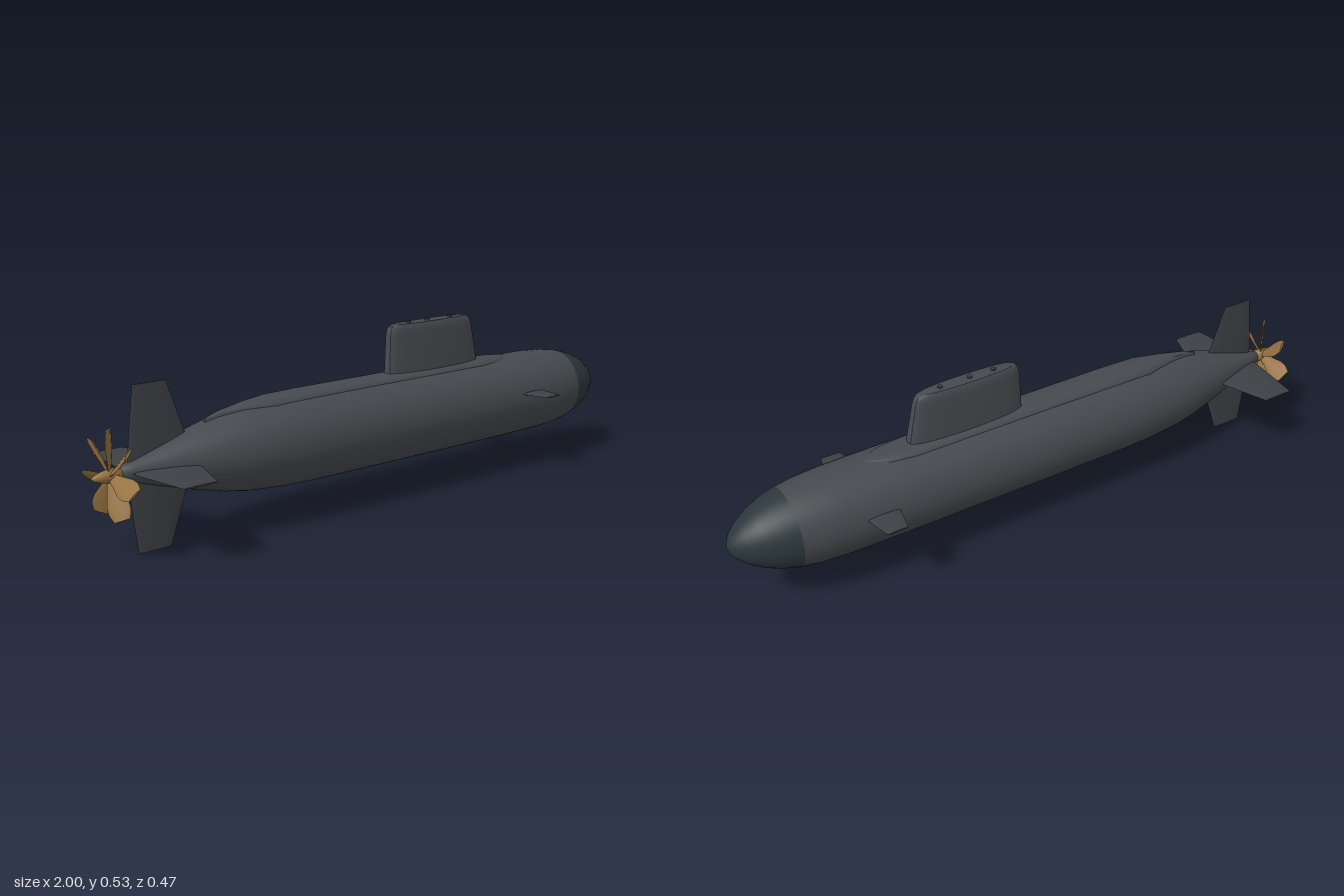
import * as THREE from 'three';
import { toCreasedNormals } from 'three/addons/utils/BufferGeometryUtils.js';

const AXIS = 0.235; // height of the hull centreline

const mat = (color) => new THREE.MeshStandardMaterial({ color });
const hullMat = mat(0x46494e);
const noseMat = mat(0x2c373b);
const finMat = mat(0x3d4044);
const bronze = mat(0x94703f);

// Skin over rings of points, capped at both ends; rings run counter-clockwise about the travel direction
function loft(rings, crease = 0.6) {
  const n = rings[0].length;
  const index = [];
  for (let i = 0; i < rings.length - 1; i++) {
    for (let j = 0; j < n; j++) {
      const a = i * n + j, b = i * n + (j + 1) % n;
      index.push(a, b, b + n, a, b + n, a + n);
    }
  }
  const last = (rings.length - 1) * n;
  for (let j = 1; j < n - 1; j++) {
    index.push(0, j + 1, j, last, last + j, last + j + 1);
  }
  const geo = new THREE.BufferGeometry();
  geo.setAttribute('position', new THREE.Float32BufferAttribute(rings.flat(2), 3));
  geo.setIndex(index);
  return toCreasedNormals(geo.toNonIndexed(), crease);
}

const power = (v, e) => Math.sign(v) * Math.abs(v) ** e;

// Horizontal section at height y, from x0 to x1, half thickness w; e < 1 squares it off
function plan(y, x0, x1, w, sides, e = 1) {
  return Array.from({ length: sides }, (_, k) => {
    const t = (k / sides) * Math.PI * 2;
    return [(x0 + x1) / 2 + (x1 - x0) / 2 * Math.sin(t), y, w * power(Math.cos(t), e)];
  });
}

function add(parent, name, geo, material) {
  const mesh = new THREE.Mesh(geo, material);
  mesh.name = name;
  parent.add(mesh);
  return mesh;
}

// Body of revolution along x from [x, radius] pairs, listed stern to bow
function turned(profile, segments = 48) {
  const geo = new THREE.LatheGeometry(profile.map(([x, r]) => new THREE.Vector2(r, x)), segments);
  return geo.rotateZ(-Math.PI / 2).translate(0, AXIS, 0);
}

export function createModel() {
  const sub = new THREE.Group();
  sub.name = 'submarine';

  // Pressure hull and darker bow dome
  add(sub, 'hull', turned([
    [-0.93, 0], [-0.93, 0.016], [-0.88, 0.028], [-0.8, 0.053], [-0.71, 0.08], [-0.6, 0.108],
    [-0.52, 0.122], [-0.4, 0.132], [-0.3, 0.135], [0, 0.136], [0.5, 0.136], [0.68, 0.134],
    [0.76, 0.129], [0.82, 0.12],
  ]), hullMat);
  add(sub, 'bowDome', turned([
    [0.82, 0.12], [0.87, 0.107], [0.915, 0.088], [0.955, 0.063], [0.982, 0.038], [0.995, 0.018], [1, 0],
  ]), noseMat);

  // Deck casing: [x, half width, top height], tapering to both ends
  const casing = [
    [-0.64, 0.006, 0.343], [-0.59, 0.014, 0.357], [-0.5, 0.036, 0.37], [-0.42, 0.054, 0.376],
    [-0.3, 0.057, 0.378], [0.42, 0.057, 0.378], [0.5, 0.05, 0.376], [0.56, 0.03, 0.372], [0.6, 0.01, 0.366],
  ].map(([x, w, top]) => Array.from({ length: 24 }, (_, k) => {
    const t = (k / 24) * Math.PI * 2;
    return [x, top - 0.04 + 0.04 * power(Math.cos(t), 0.6), w * power(Math.sin(t), 0.7)];
  }));
  add(sub, 'deckCasing', loft(casing), hullMat);

  // Sail with rounded top edge
  add(sub, 'sail', loft([
    plan(0.355, 0.036, 0.43, 0.036, 40, 0.55),
    plan(0.375, 0.038, 0.425, 0.036, 40, 0.55),
    plan(0.49, 0.043, 0.401, 0.031, 40, 0.55),
    plan(0.51, 0.046, 0.395, 0.03, 40, 0.55),
    plan(0.522, 0.053, 0.386, 0.027, 40, 0.55),
    plan(0.527, 0.066, 0.372, 0.024, 40, 0.55),
  ]), hullMat);

  // Retracted mast heads
  for (const x of [0.13, 0.21, 0.31]) {
    const geo = new THREE.CylinderGeometry(0.008, 0.008, 0.02, 12).translate(x, 0.522, 0);
    add(sub, 'mastHead', geo, finMat);
  }

  // Four stern fins in a cross
  const sternFin = loft([
    plan(0, -0.89, -0.68, 0.008, 12),
    plan(0.08, -0.884, -0.705, 0.006, 12),
    plan(0.235, -0.865, -0.76, 0.0025, 12),
  ]);
  ['upperRudder', 'rightSternPlane', 'lowerRudder', 'leftSternPlane'].forEach((name, i) => {
    const fin = add(sub, name, sternFin, finMat);
    fin.position.y = AXIS;
    fin.rotation.x = -i * Math.PI / 2;
  });

  // Bow planes
  const bowPlane = loft([
    plan(0.1, 0.52, 0.632, 0.006, 12),
    plan(0.135, 0.526, 0.627, 0.005, 12),
    plan(0.217, 0.545, 0.61, 0.0025, 12),
  ]);
  for (const side of [1, -1]) {
    const plane = add(sub, side > 0 ? 'frontBowPlane' : 'backBowPlane', bowPlane, finMat);
    plane.position.y = 0.26;
    plane.rotation.x = side * Math.PI / 2;
  }

  // Seven-bladed propeller
  const propeller = new THREE.Group();
  propeller.name = 'propeller';
  sub.add(propeller);
  add(propeller, 'hub', turned([
    [-1, 0], [-0.99, 0.008], [-0.97, 0.015], [-0.945, 0.019], [-0.915, 0.021], [-0.915, 0],
  ], 20), bronze);
  const blade = loft([[0.01, 0.012], [0.04, 0.019], [0.075, 0.03], [0.1, 0.031], [0.124, 0.022]].map(
    ([r, half]) => plan(r, -half, half, 0.0035, 8)), 0.5).rotateY(0.75);
  for (let i = 0; i < 7; i++) {
    const b = add(propeller, 'blade', blade, bronze);
    b.position.set(-0.942, AXIS, 0);
    b.rotation.x = (i / 7) * Math.PI * 2;
  }
  return sub;
}
